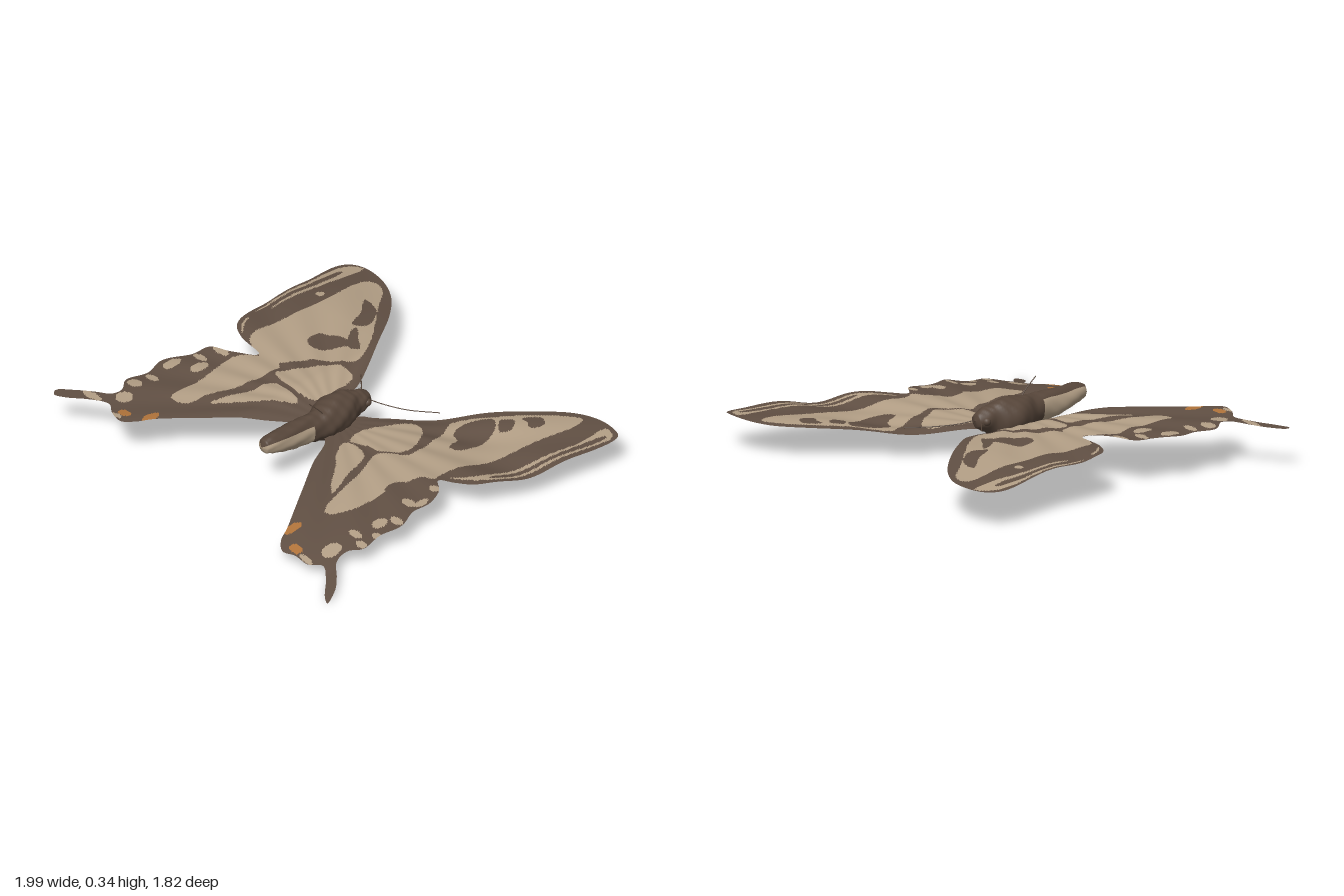
import * as THREE from 'three';

const mat = (name, color, side = THREE.FrontSide) =>
  Object.assign(new THREE.MeshStandardMaterial({ color, side }), { name });

// Outlines and markings are in hundredths of a unit: x, z pairs
const OUTLINE_L = [3, -9, 9, -14, 17, -24, 30, -40, 43, -57, 57, -72, 70, -83, 82, -87, 93, -86.5, 98.5, -84, 99, -69,
  96, -50, 92, -32, 88, -19, 83, -10, 75, -4, 69, 0, 76, 6, 79, 14, 78.5, 24, 82.5, 35, 79.5, 45, 81, 57.5, 76.5, 63,
  77, 70, 84.5, 77, 90, 83, 93, 90.5, 89, 88.5, 81, 80.5, 74, 76, 68.5, 80.5, 61, 81, 54.5, 83, 49, 79, 45, 71.5,
  37, 59, 28, 45.5, 17.5, 30, 10, 16, 3, 10];
const OUTLINE_R = [-3, -9, -8.5, -13, -11, -23, -18, -37, -28, -53, -39.5, -69, -53, -82.5, -66, -89.5, -80, -91,
  -87, -88, -90, -81.5, -87.7, -61, -86, -40, -85, -24, -81, -13, -71.5, -7, -55.5, -3.5, -56.5, -1, -66, 5.5,
  -75.5, 9.5, -77, 19, -82.5, 32.5, -80, 43, -82.5, 54, -77, 62, -78, 67, -85, 71, -93, 76, -99.5, 82, -97.5, 85,
  -92, 83, -82.5, 77, -73, 73.5, -66, 78, -58, 80, -53, 75, -49, 68, -39.5, 56.5, -29, 44.5, -18, 30.5, -10, 18, -3, 11];

// Pale fields, dark bars over them, then pale and orange spots (x, z, rx, rz)
const LEFT = {
  outline: OUTLINE_L,
  pale: [
    [43, -16, 38, -32, 35, -40, 47, -55, 59, -69, 68, -77, 77, -82, 79, -75, 75, -56, 72, -35, 68, -16, 66, -5, 67, 1,
      62, 4, 59, 14, 58, 30, 57, 43, 50, 52, 46, 48, 42, 32, 37, 16, 33, 6, 38, 0, 44, -5],
    [90, -84, 97, -82, 96, -69, 93, -51, 89, -32, 85, -18, 78, -10, 70, -5, 78, -14, 82, -29, 87, -51, 90, -69],
    [25, -26, 31, -25, 38, -16, 41, -7, 33, 3, 25, 4, 17, 7, 14, -1, 19, -16],
    [16, 9, 25, 8, 31, 11, 35, 23, 40, 35, 41, 40, 35, 35, 27, 25, 20, 18],
  ],
  dark: [
    [47, -53, 52, -51, 57, -40, 55, -26, 50, -24, 47, -32, 42, -34, 40, -41],
    [57, -62, 62, -69, 68, -67, 66, -60, 61, -62],
    [56, -59, 60, -53, 57, -49, 51, -55],
    [56, 14, 60, 11, 61, 22, 57, 22],
    [94, -80, 95.5, -80, 91, -50, 84, -20, 82.5, -19, 89, -50],
  ],
  spots: [[73, 6, 3, 2], [76, 17, 2, 4], [72, 21, 4, 2.5], [78, 34, 4, 2], [73, 40, 3, 4], [79, 47, 3, 2],
    [71, 53, 4, 2], [78, 56, 3, 2], [70, 67, 4, 5], [66, 79, 4, 1.5]],
  orange: [[47, 70, 2.5, 5], [58, 78, 3.5, 2.5]],
  // Nearly flat, with the tail hanging down
  height(x, z) {
    const drop = z > 0 ? (0.08 * z + 0.11 * z ** 3) * Math.min(1, x / 0.8) : 0;
    const dip = 0.03 * Math.exp(-(((z + 0.35) / 0.15) ** 2));
    return 0.162 + 0.02 * x - drop - dip;
  },
};
const RIGHT = {
  outline: OUTLINE_R,
  pale: [
    [-70, -84, -62, -85, -50, -72, -40, -61, -29, -48, -22, -34, -26, -26, -37, -16, -42, -7, -50, -1, -56, -3,
      -69, -10, -69, -35, -69, -61],
    [-53, -3, -42, -4, -41, 6, -42, 19, -47, 38, -49, 48, -57, 50, -58, 40, -59, 24, -62, 11, -60, 4],
    [-24, -24, -16, -25, -14, -13, -14, 0, -21, 4, -32, 4, -39, 2, -35, -7, -30, -16],
    [-17, 8, -26, 7, -34, 8, -36, 19, -40, 32, -42, 40, -33, 30, -25, 20],
    [-80, -90, -86, -86, -88, -77, -86, -59, -85, -40, -83, -24, -79, -14, -73, -9, -80, -18, -80, -40, -80, -61, -79, -77],
  ],
  dark: [
    [-46, -37, -40, -40, -33, -40, -35, -32, -41, -25, -48, -26, -50, -35],
    [-42, -51, -34, -45, -28, -40, -32, -37, -40, -45],
    [-58, -71, -48, -69, -40, -56, -45, -51, -50, -61],
    [-84.5, -80, -83, -80, -82, -50, -80.8, -20, -82, -20, -84, -50],
  ],
  spots: [[-74, -58, 2, 2], [-69, 8, 5, 2], [-72, 18, 4, 2], [-77, 31, 3, 5], [-66, 24, 3, 5], [-75, 45, 4, 2],
    [-77, 54, 4, 3], [-72, 65, 4, 4], [-84, 74, 6, 2], [-63, 78, 3, 1.5]],
  orange: [[-51, 68, 2.5, 5], [-62, 74, 3.5, 2.5]],
  // Raised from the root, drooping at the tip
  height(x, z) {
    const rise = 0.068 * THREE.MathUtils.smoothstep(-x, 0.04, 0.26);
    const tip = 0.04 * THREE.MathUtils.smoothstep(-z, 0.5, 0.95);
    const edge = 0.02 * THREE.MathUtils.smoothstep(-x, 0.7, 1);
    return 0.175 + rise - tip - edge - 0.015 * Math.max(0, z);
  },
};

// Smooth closed loop through x, z pairs
function loop(flat, steps = 4) {
  const pts = [];
  for (let i = 0; i < flat.length; i += 2) pts.push(new THREE.Vector3(flat[i] / 100, flat[i + 1] / 100, 0));
  return new THREE.CatmullRomCurve3(pts, true, 'centripetal').getPoints(pts.length * steps).slice(0, -1);
}

function inside(poly, x, z) {
  let hit = false;
  for (let i = 0, j = poly.length - 1; i < poly.length; j = i++) {
    const a = poly[i], b = poly[j];
    if ((a.y > z) !== (b.y > z) && x < ((b.x - a.x) * (z - a.y)) / (b.y - a.y) + a.x) hit = !hit;
  }
  return hit;
}

const inSpot = ([cx, cz, rx, rz], x, z) => ((x * 100 - cx) / rx) ** 2 + ((z * 100 - cz) / rz) ** 2 < 1;

// Fine sheet trimmed to the outline, with its faces sorted by colour
function wing(name, spec, materials) {
  const edge = loop(spec.outline, 6), pale = spec.pale.map((p) => loop(p)), dark = spec.dark.map((p) => loop(p));
  const box = new THREE.Box2().setFromPoints(edge), cell = 0.009;
  const nx = Math.ceil((box.max.x - box.min.x) / cell) + 2, nz = Math.ceil((box.max.y - box.min.y) / cell) + 2;
  const positions = [], ids = new Map(), faces = [[], [], []];
  const gx = (i) => box.min.x + (i - 1) * cell, gz = (j) => box.min.y + (j - 1) * cell;
  const isIn = [];
  for (let i = 0; i <= nx; i++) for (let j = 0; j <= nz; j++) isIn.push(inside(edge, gx(i), gz(j)));

  const vertex = (i, j) => {
    const key = i * (nz + 1) + j;
    if (ids.has(key)) return ids.get(key);
    let x = gx(i), z = gz(j);
    if (!isIn[key]) { // pull outer corners onto the outline
      let best = Infinity, q;
      const p = new THREE.Vector3(x, z, 0), near = new THREE.Vector3(), line = new THREE.Line3();
      edge.forEach((a, k) => {
        line.set(a, edge[(k + 1) % edge.length]).closestPointToPoint(p, true, near);
        const d = near.distanceToSquared(p);
        if (d < best) { best = d; q = near.clone(); }
      });
      x = q.x; z = q.y;
    }
    // Fine folds fan out from the root
    const fold = 0.004 * Math.sin(Math.atan2(z, Math.abs(x)) * 22) * Math.min(1, Math.hypot(x, z) * 2);
    positions.push(x, spec.height(x, z) + fold, z);
    ids.set(key, positions.length / 3 - 1);
    return positions.length / 3 - 1;
  };
  const colourAt = (x, z) => {
    if (spec.orange.some((s) => inSpot(s, x, z))) return 2;
    if (spec.spots.some((s) => inSpot(s, x, z))) return 1;
    return pale.some((p) => inside(p, x, z)) && !dark.some((p) => inside(p, x, z)) ? 1 : 0;
  };
  const addFace = (...v) => {
    const mid = (o) => v.reduce((s, k) => s + positions[k * 3 + o], 0) / 3;
    faces[colourAt(mid(0), mid(2))].push(...v);
  };
  for (let i = 0; i < nx; i++) for (let j = 0; j < nz; j++) {
    const k = i * (nz + 1) + j;
    if (!(isIn[k] || isIn[k + 1] || isIn[k + nz + 1] || isIn[k + nz + 2])) continue;
    const a = vertex(i, j), b = vertex(i, j + 1), c = vertex(i + 1, j + 1), d = vertex(i + 1, j);
    addFace(a, b, c);
    addFace(a, c, d);
  }
  return grouped(name, positions, faces, materials);
}

function grouped(name, positions, faces, materials) {
  const geo = new THREE.BufferGeometry();
  geo.setAttribute('position', new THREE.Float32BufferAttribute(positions, 3));
  geo.setIndex(faces.flat());
  let start = 0;
  faces.forEach((f, k) => { geo.addGroup(start, f.length, k); start += f.length; });
  geo.computeVertexNormals();
  const mesh = new THREE.Mesh(geo, materials);
  mesh.name = name;
  return mesh;
}

// Head, thorax and abdomen lofted through oval sections: z, centre x, centre y, rx, ry
function body(materials) {
  const sections = [[-0.19, 0.01, 0.22, 0.003, 0.003], [-0.18, 0.01, 0.22, 0.03, 0.032], [-0.14, 0.01, 0.22, 0.048, 0.055],
    [-0.1, 0.005, 0.215, 0.05, 0.07], [-0.05, 0, 0.21, 0.075, 0.09], [0.02, 0, 0.207, 0.09, 0.095],
    [0.09, 0.01, 0.205, 0.082, 0.088], [0.15, 0.02, 0.21, 0.058, 0.075], [0.22, 0.02, 0.217, 0.052, 0.07],
    [0.32, 0.02, 0.225, 0.052, 0.063], [0.42, 0.025, 0.24, 0.045, 0.05], [0.47, 0.025, 0.245, 0.033, 0.034],
    [0.485, 0.025, 0.245, 0.003, 0.003]];
  const axis = new THREE.CatmullRomCurve3(sections.map(([z, x, y]) => new THREE.Vector3(x, y, z)));
  const size = new THREE.CatmullRomCurve3(sections.map((s) => new THREE.Vector3(s[3], s[4], 0)));
  const rings = 72, sides = 36, positions = [], faces = [[], []];
  for (let j = 0; j <= rings; j++) {
    const c = axis.getPoint(j / rings), r = size.getPoint(j / rings);
    for (let i = 0; i < sides; i++) {
      const a = (i / sides) * Math.PI * 2;
      const fur = 1 + 0.05 * Math.sin(a * 5 + j * 0.5) * Math.sin(j * 0.9 + Math.cos(a) * 2);
      positions.push(c.x + r.x * fur * Math.sin(a), c.y + r.y * fur * Math.cos(a), c.z);
      if (j === rings) continue;
      const n = (i + 1) % sides, p = j * sides, q = p + sides;
      const pale = c.z > 0.19 && Math.cos(a) < 0.6;
      faces[pale ? 1 : 0].push(p + i, q + i, q + n, p + i, q + n, p + n);
    }
  }
  return grouped('body', positions, faces, materials);
}

export function createModel() {
  const group = new THREE.Group();
  const brown = mat('wing brown', 0x604f43, THREE.DoubleSide);
  const tan = mat('pale tan', 0xb29e85, THREE.DoubleSide);
  const orange = mat('orange spot', 0xb0733a, THREE.DoubleSide);
  const fur = mat('body brown', 0x57463a);
  const add = (name, geo, material, x = 0, y = 0, z = 0) => {
    const mesh = new THREE.Mesh(geo, material);
    mesh.name = name;
    mesh.position.set(x, y, z);
    group.add(mesh);
  };
  const tube = (name, pts, radius) => add(name, new THREE.TubeGeometry(
    new THREE.CatmullRomCurve3(pts.map((p) => new THREE.Vector3(...p))), 20, radius, 6), fur);

  group.add(wing('leftWing', LEFT, [brown, tan, orange]), wing('rightWing', RIGHT, [brown, tan, orange]));
  group.add(body([fur, tan]));

  // Eyes, antennae and a fine spike on the back
  for (const s of [-1, 1]) add('eye', new THREE.SphereGeometry(0.02, 16, 12), fur, 0.01 + s * 0.036, 0.22, -0.15);
  tube('leftAntenna', [[0.03, 0.22, -0.17], [0.08, 0.2, -0.21], [0.17, 0.18, -0.28], [0.28, 0.17, -0.385]], 0.0025);
  tube('rightAntenna', [[-0.02, 0.22, -0.17], [-0.07, 0.22, -0.22], [-0.14, 0.22, -0.28]], 0.003);
  tube('spike', [[0.045, 0.25, 0.1], [0.042, 0.31, 0.15], [0.035, 0.36, 0.2]], 0.0025);
  return group;
}
